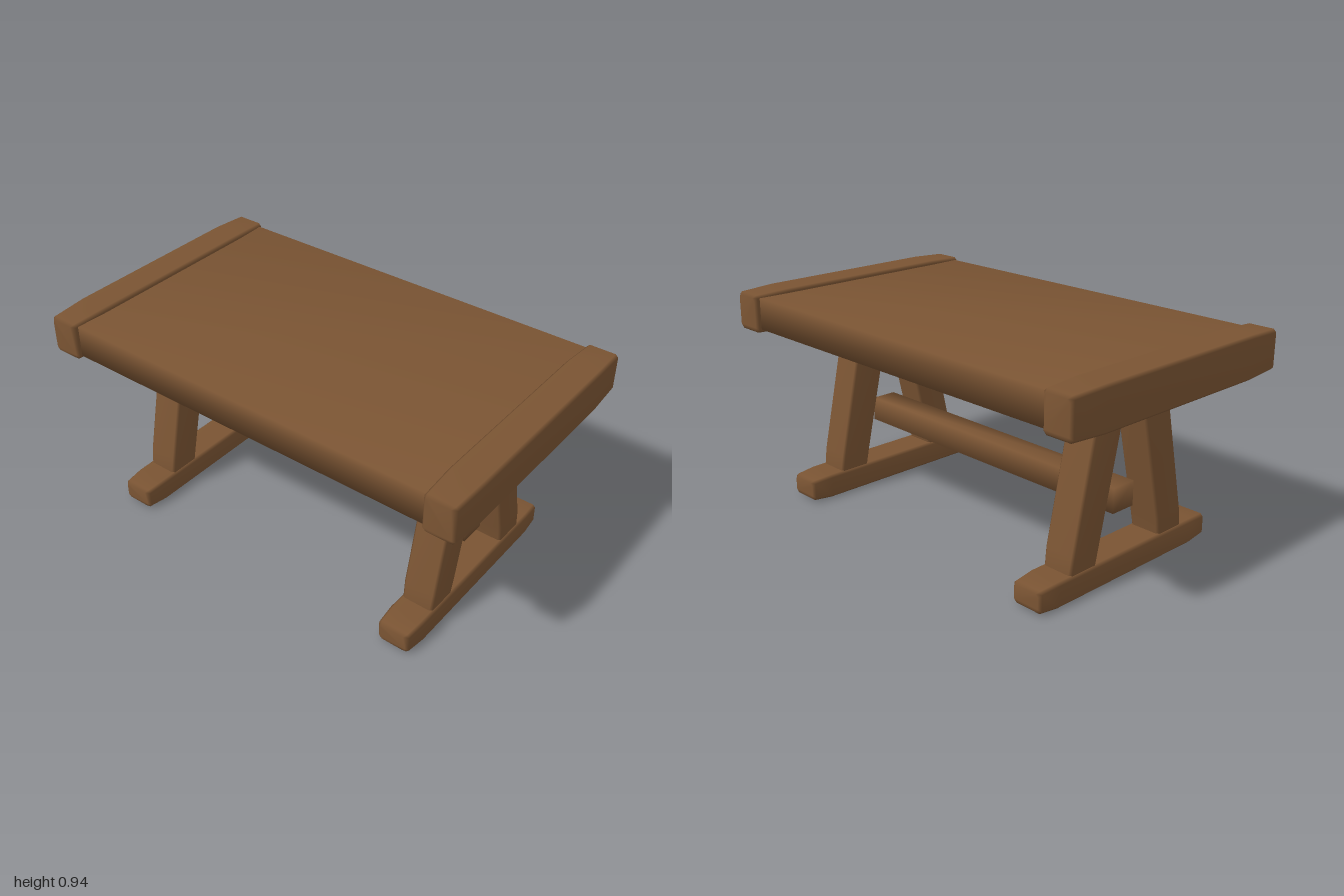
import * as THREE from 'three';
import { mergeVertices } from 'three/addons/utils/BufferGeometryUtils.js';

// Smooth-shaded beam lofted through chamfered rectangles.
// Each station is [t, centreU, centreV, halfU, halfV], with t rising along the axis.
function beam(stations, chamfer, axis) {
  const pos = [], idx = [];
  for (const [t, cu, cv, a, b] of stations) {
    const p = a - chamfer, q = b - chamfer;
    const ring = [[a, -q], [a, q], [p, b], [-p, b], [-a, q], [-a, -q], [-p, -b], [p, -b]];
    for (const [du, dv] of ring) {
      const u = cu + du, v = cv + dv;
      if (axis === 'y') pos.push(v, t, u); // u = z, v = x
      else pos.push(u, v, t);              // u = x, v = y
    }
  }
  for (let i = 0; i < stations.length - 1; i++) {
    for (let j = 0; j < 8; j++) {
      const a = i * 8 + j, b = i * 8 + (j + 1) % 8;
      idx.push(a, b, b + 8, a, b + 8, a + 8);
    }
  }
  const last = (stations.length - 1) * 8;
  for (let j = 1; j < 7; j++) {
    idx.push(0, j + 1, j, last, last + j, last + j + 1);
  }
  const g = new THREE.BufferGeometry();
  g.setAttribute('position', new THREE.Float32BufferAttribute(pos, 3));
  g.setIndex(idx);
  g.computeVertexNormals();
  return g;
}

// Horizontal beam along z, drawn in slightly towards both ends
function softBeam(cx, cy, hw, hh, len, shoulder) {
  const ends = [[len, 0.018], [len - 0.012, 0.007], [shoulder, 0]];
  const st = ends.map(([t, s]) => [t, cx, cy, hw - s, hh - s]);
  return beam([...st.map(([t, ...r]) => [-t, ...r]), ...st.reverse()], 0.012, 'z');
}

// Box whose corners share normals, for softly shaded planks
function softBox(w, h, d) {
  let g = new THREE.BoxGeometry(w, h, d);
  g.deleteAttribute('normal');
  g.deleteAttribute('uv');
  g = mergeVertices(g);
  g.computeVertexNormals();
  return g;
}

export function createModel() {
  const wood = new THREE.MeshStandardMaterial({ color: 0x7a5433 });
  wood.name = 'brown wood';
  const iron = new THREE.MeshStandardMaterial({ color: 0x33353d });
  iron.name = 'dark iron';

  const table = new THREE.Group();
  table.name = 'table';
  const add = (name, geometry, material) => {
    const mesh = new THREE.Mesh(geometry, material);
    mesh.name = name;
    table.add(mesh);
    return mesh;
  };

  // Top and stretcher
  add('tabletop', softBox(1.84, 0.14, 1.14), wood).position.y = 0.85;
  add('stretcher', softBox(1.48, 0.107, 0.118), wood).position.y = 0.318;

  for (const side of [1, -1]) {
    const label = side > 0 ? 'left' : 'right';
    const x = side * 0.705;

    // End board and foot
    add(label + 'EndBoard', softBeam(side * 0.925, 0.848, 0.075, 0.09, 0.592, 0.42), wood);
    add(label + 'Foot', softBeam(x, 0.054, 0.079, 0.054, 0.5, 0.4), wood);

    for (const f of [1, -1]) {
      const end = f > 0 ? 'Front' : 'Back';

      // Leaning leg
      add(label + end + 'Leg', beam([
        [0.06, f * 0.264, x, 0.07, 0.065],
        [0.11, f * 0.26, x, 0.075, 0.07],
        [0.18, f * 0.249, x, 0.076, 0.073],
        [0.755, f * 0.12, x, 0.079, 0.073],
        [0.785, f * 0.114, x, 0.066, 0.06],
      ], 0.01, 'y'), wood);

      // Iron pad under the top
      add(label + end + 'Pad', beam([
        [0.737, f * 0.35, x, 0.09, 0.09],
        [0.747, f * 0.35, x, 0.1, 0.1],
        [0.785, f * 0.35, x, 0.1, 0.1],
      ], 0.008, 'y'), iron);
    }
  }
  return table;
}
